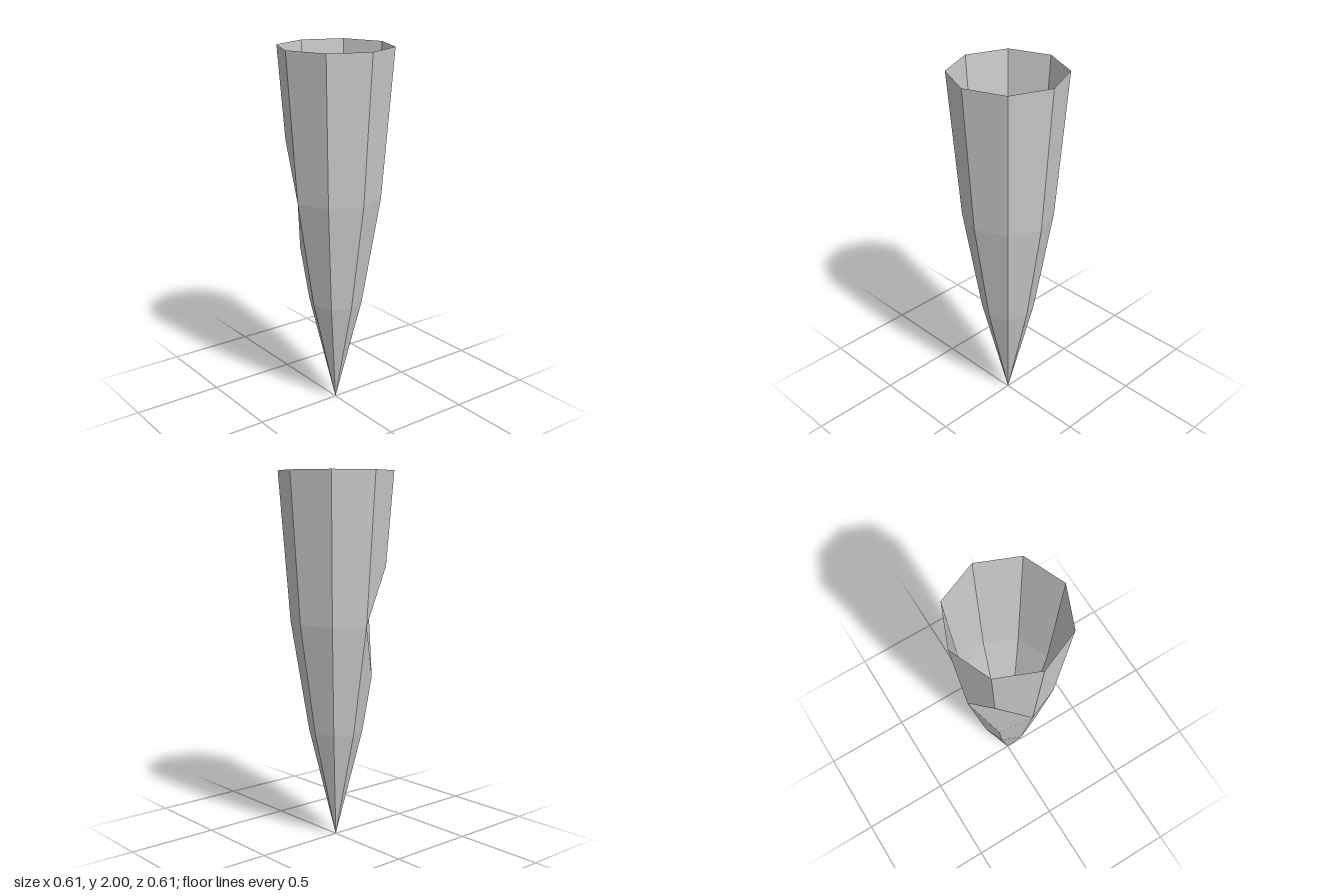
import * as THREE from 'three';

const SIDES = 8;
const NOTCH = 7; // ridge that is cut, at the front right
// [radius, height] from tip to rim
const PROFILE = [[0, 0], [0.147, 0.6], [0.245, 1.2], [0.307, 2]];
const CUT_LOW = [0.196, 0.9];
const CUT_HIGH = [0.268, 1.5];

// Point on ridge i at a given [radius, height]
function ridgePoint(i, [r, y]) {
  const a = (i % SIDES) * Math.PI * 2 / SIDES;
  return [Math.sin(a) * r, y, Math.cos(a) * r];
}

// Flat-shaded mesh from convex facets, corners counter-clockwise from outside
function facetMesh(name, facets, material) {
  const pos = [];
  for (const f of facets) {
    for (let k = 1; k < f.length - 1; k++) pos.push(...f[0], ...f[k], ...f[k + 1]);
  }
  const geometry = new THREE.BufferGeometry();
  geometry.setAttribute('position', new THREE.Float32BufferAttribute(pos, 3));
  geometry.computeVertexNormals();
  const mesh = new THREE.Mesh(geometry, material);
  mesh.name = name;
  return mesh;
}

export function createModel() {
  const group = new THREE.Group();
  group.name = 'spike';
  const material = new THREE.MeshStandardMaterial({
    color: 0xcccccc, flatShading: true, side: THREE.DoubleSide,
  });

  // Eight-sided open shell; the notched ridge stops short of the middle ring
  const level = (i, ring, cut) => ridgePoint(i, ring === 2 && i % SIDES === NOTCH ? cut : PROFILE[ring]);
  const shell = [];
  for (let i = 0; i < SIDES; i++) {
    const j = i + 1;
    shell.push([level(i, 0), level(j, 1), level(i, 1)]);
    shell.push([level(i, 1), level(j, 1), level(j, 2, CUT_LOW), level(i, 2, CUT_LOW)]);
    shell.push([level(i, 2, CUT_HIGH), level(j, 2, CUT_HIGH), level(j, 3), level(i, 3)]);
  }
  group.add(facetMesh('shell', shell, material));

  // Two triangles forming the wedge cut into the ridge
  const left = ridgePoint(NOTCH - 1, PROFILE[2]);
  const right = ridgePoint(NOTCH + 1, PROFILE[2]);
  group.add(facetMesh('notch', [
    [left, right, ridgePoint(NOTCH, CUT_HIGH)],
    [left, ridgePoint(NOTCH, CUT_LOW), right],
  ], material));

  return group;
}
